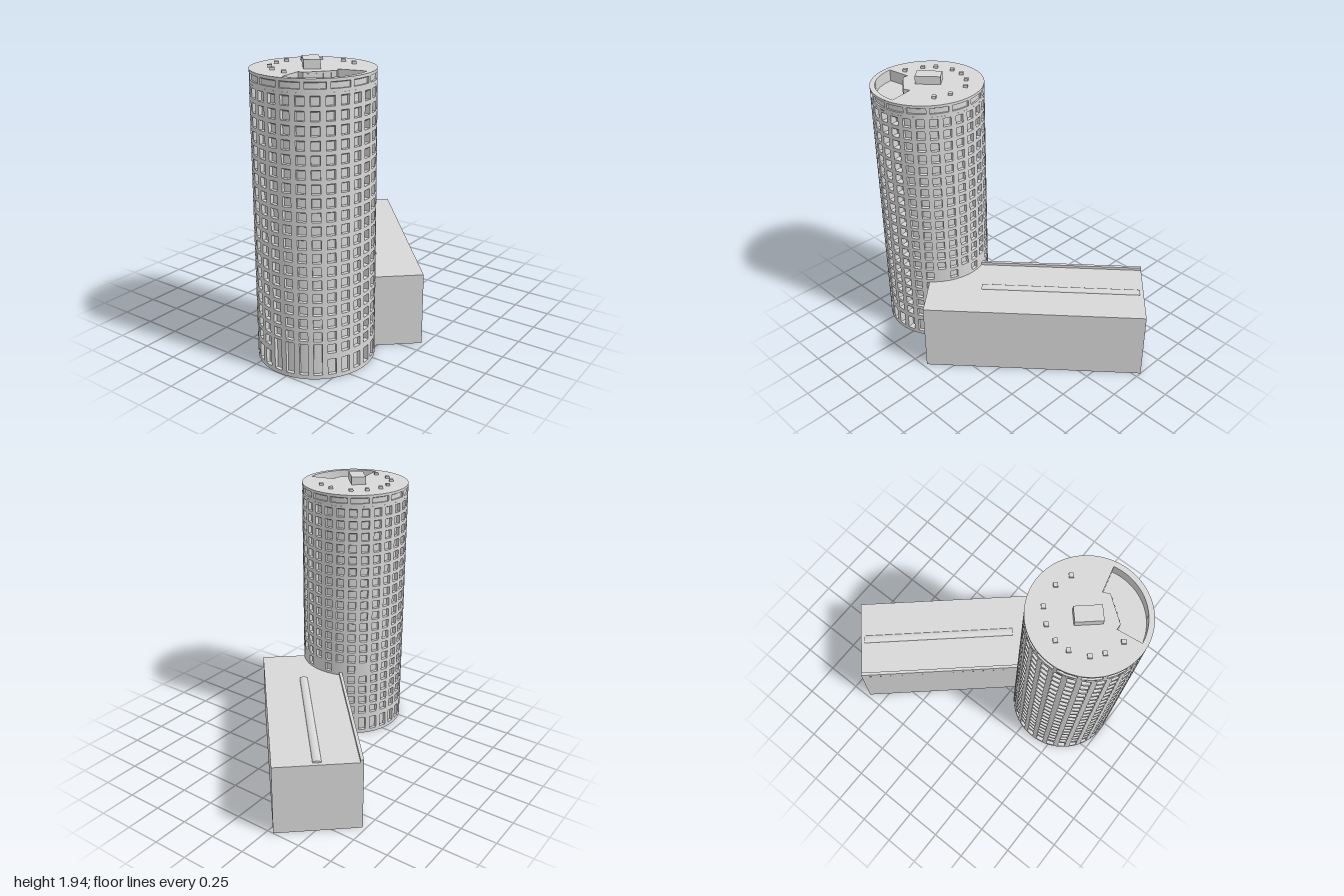
import * as THREE from 'three';

const R = 0.384, TOP = 1.885, BAND = 1.805;
const CX = -0.616, CZ = 0.195;

// Collects curved wall patches and flat reveals in cylinder coordinates
function wallBuilder() {
  const pos = [], nor = [];
  const at = (a, [y, r]) => [r * Math.cos(a), y, r * Math.sin(a)];
  const put = (p, n) => { pos.push(...p); nor.push(...n); };
  return {
    // sweeps the profile segment p -> q around from angle a0 to a1
    patch(a0, a1, p, q, steps = 2) {
      const dy = q[0] - p[0], dr = q[1] - p[1], len = Math.hypot(dy, dr);
      if (len < 1e-6) return;
      const n = a => [dy / len * Math.cos(a), -dr / len, dy / len * Math.sin(a)];
      for (let i = 0; i < steps; i++) {
        const a = a0 + (a1 - a0) * i / steps, b = a0 + (a1 - a0) * (i + 1) / steps;
        for (const [ang, pt] of [[b, p], [a, p], [a, q], [b, p], [a, q], [b, q]]) put(at(ang, pt), n(ang));
      }
    },
    // flat side of a recess at angle a, facing along dir (+1 = growing angle)
    jamb(a, pts, dir) {
      const n = [-Math.sin(a) * dir, 0, Math.cos(a) * dir];
      for (let i = 1; i < pts.length - 1; i++) {
        const tri = dir > 0 ? [0, i + 1, i] : [0, i, i + 1];
        for (const k of tri) put(at(a, pts[k]), n);
      }
    },
    geometry() {
      const g = new THREE.BufferGeometry();
      g.setAttribute('position', new THREE.Float32BufferAttribute(pos, 3));
      g.setAttribute('normal', new THREE.Float32BufferAttribute(nor, 3));
      return g;
    },
  };
}

// Ring of bays; openings(k) lists {y0, y1, depth, slope} from the bottom up
function ringOfBays(count, phase, width, yLow, yHigh, openings) {
  const w = wallBuilder(), step = Math.PI * 2 / count;
  for (let k = 0; k < count; k++) {
    const mid = phase + k * step, a0 = mid - width / 2, a1 = mid + width / 2;
    w.patch(a1, a0 + step, [yLow, R], [yHigh, R]);
    const profile = [[yLow, R]];
    for (const { y0, y1, depth, slope } of openings(k)) {
      const recess = [[y0, R], [y0, R - depth], [y1 - slope, R - depth], [y1, R]];
      profile.push(...recess);
      w.jamb(a0, recess, 1);
      w.jamb(a1, recess, -1);
    }
    profile.push([yHigh, R]);
    for (let i = 0; i < profile.length - 1; i++) w.patch(a0, a1, profile[i], profile[i + 1]);
  }
  return w.geometry();
}

// Window openings of one tower column
function columnOpenings(k) {
  const list = [];
  const deep = k === 5 || k === 6;   // deep soffits on the two front columns
  const recess = { depth: deep ? 0.05 : 0.024, slope: deep ? 0.034 : 0.011 };
  const tall = k >= 10 && k <= 13;   // entrance openings
  list.push({ y0: 0.028, y1: tall ? 0.24 : 0.134, ...recess });
  for (let row = 18; row >= 0; row--) {
    if (row === 18 && tall) continue;
    if (row === 14 && [0, 2, 23, 25].includes(k)) continue;
    const y = 1.758 - 0.0863 * row;
    list.push({ y0: y - 0.03, y1: y + 0.03, ...recess });
  }
  return list;
}

export function createModel() {
  const model = new THREE.Group();
  model.name = 'roundTowerBuilding';
  const grey = new THREE.MeshStandardMaterial({ color: 0xd8d8d8 });
  grey.name = 'concreteGrey';
  const add = (parent, name, geo, x = 0, y = 0, z = 0, ry = 0) => {
    const m = new THREE.Mesh(geo, grey);
    m.name = name;
    m.position.set(x, y, z);
    m.rotation.y = ry;
    parent.add(m);
    return m;
  };

  // Tower walls
  const tower = new THREE.Group();
  tower.name = 'tower';
  tower.position.set(CX, 0, CZ);
  model.add(tower);
  add(tower, 'windowWall', ringOfBays(27, 0.134, 0.142, 0, BAND, columnOpenings));
  add(tower, 'parapetBand', ringOfBays(16, 0.1, 0.33, BAND, TOP,
    () => [{ y0: 1.826, y1: 1.866, depth: 0.012, slope: 0.006 }]));
  const rim = wallBuilder();
  rim.patch(0, Math.PI * 2, [TOP, R], [TOP, R - 0.02], 108);
  add(tower, 'roofRim', rim.geometry());
  add(tower, 'towerBase', new THREE.CircleGeometry(R, 108).rotateX(Math.PI / 2), 0, 0.0005);

  // Roof slab with a sunken terrace
  const slab = new THREE.Shape().absarc(0, 0, R - 0.016, 0, Math.PI * 2, false);
  const terrace = new THREE.Path();
  terrace.moveTo(-0.345, 0.048);
  terrace.lineTo(-0.179, 0.027);
  terrace.lineTo(-0.179, 0.064);
  terrace.lineTo(-0.019, 0.187);
  terrace.lineTo(0.024, 0.166);
  terrace.lineTo(0.067, 0.342);
  terrace.absarc(0, 0, 0.3485, 1.378, 3.003, false);
  slab.holes.push(terrace);
  const slabGeo = new THREE.ExtrudeGeometry(slab, { depth: TOP - BAND, bevelEnabled: false, curveSegments: 72 });
  add(tower, 'roofSlab', slabGeo.rotateX(Math.PI / 2), 0, TOP);
  add(tower, 'terraceFloor', new THREE.CircleGeometry(R - 0.016, 72).rotateX(-Math.PI / 2), 0, BAND + 0.001);

  // Posts along the inner terrace wall
  for (let i = 0; i < 4; i++) {
    const t = 0.14 + i * 0.24;
    add(tower, 'terracePost', new THREE.BoxGeometry(0.012, 0.07, 0.012),
      -0.179 + 0.16 * t, BAND + 0.035, 0.064 + 0.123 * t, -0.656);
  }

  // Plant room and roof vents
  const turn = 0.727;
  add(tower, 'plantRoom', new THREE.BoxGeometry(0.173, 0.06, 0.102), 0, 1.911, -0.016, turn);
  const vents = [[-0.652, -0.06], [-0.556, -0.06], [-0.455, -0.013], [-0.374, 0.067], [-0.348, 0.222],
    [-0.385, 0.329], [-0.77, -0.013], [-0.829, 0.056], [-0.872, 0.18]];
  for (const [x, z] of vents) {
    add(tower, 'roofVent', new THREE.BoxGeometry(0.028, 0.022, 0.028), x - CX, TOP + 0.005, z - CZ, turn);
  }

  // Low wing set at an angle
  const wing = new THREE.Group();
  wing.name = 'wing';
  wing.position.set(0.234, 0, -0.002);
  wing.rotation.y = turn;
  model.add(wing);
  add(wing, 'wingBlock', new THREE.BoxGeometry(1.534, 0.5, 0.58), 0, 0.25);
  add(wing, 'backParapet', new THREE.BoxGeometry(1.267, 0.022, 0.022), 0.1335, 0.51, -0.279);

  // Curved skylight along the wing roof
  const skylight = new THREE.CylinderGeometry(0.029, 0.029, 1.125, 24).rotateZ(Math.PI / 2).scale(1, 0.5, 1);
  add(wing, 'skylight', skylight, 0.178, 0.5, 0.002);

  // Small drain outlets below the back parapet
  for (let i = 0; i < 14; i++) {
    add(wing, 'drainOutlet', new THREE.BoxGeometry(0.012, 0.008, 0.006), -0.3 + i * 0.077, 0.478, -0.2885);
  }
  return model;
}
